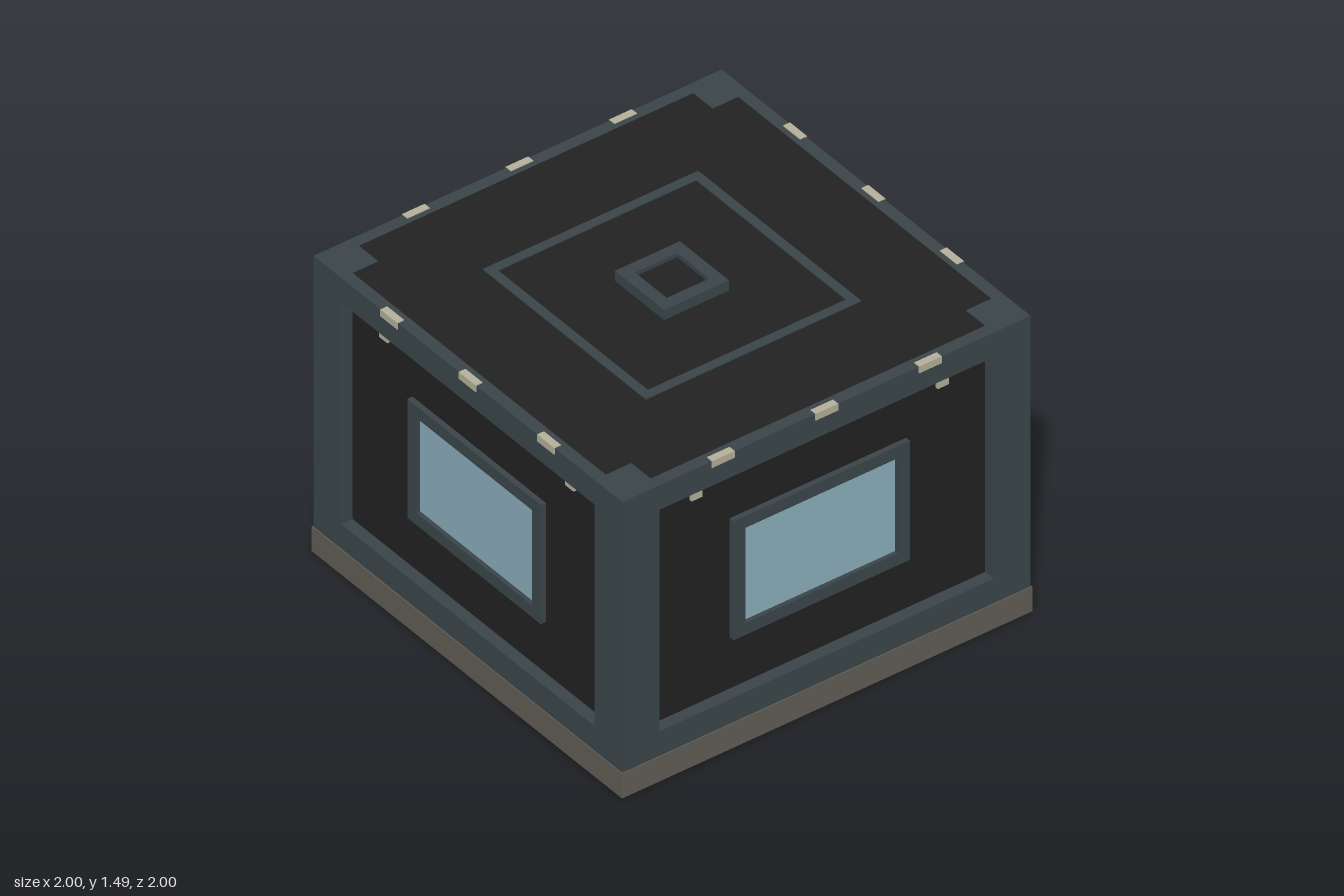
import * as THREE from 'three';

const mat = (name, color) => {
  const m = new THREE.MeshStandardMaterial({ color });
  m.name = name;
  return m;
};

export function createModel() {
  const frameMat = mat('slate frame', 0x3b464a);
  const panelMat = mat('black panel', 0x222222);
  const baseMat = mat('taupe base', 0x625d55);
  const glassMat = mat('blue glass', 0x8cafbc);
  const lampMat = mat('cream lamp', 0xb6b19c);

  const model = new THREE.Group();
  model.name = 'cabin';

  // Box given by its minimum and maximum corners
  const box = (name, material, x0, x1, y0, y1, z0, z1, parent = model) => {
    const mesh = new THREE.Mesh(new THREE.BoxGeometry(x1 - x0, y1 - y0, z1 - z0), material);
    mesh.position.set((x0 + x1) / 2, (y0 + y1) / 2, (z0 + z1) / 2);
    mesh.name = name;
    parent.add(mesh);
    return mesh;
  };

  // Rectangular ring in the xy plane, extruded towards +z
  const ring = (name, material, w, h, border, depth, parent = model) => {
    const rect = (Target, a, b) => {
      const p = new Target();
      p.moveTo(-a, -b).lineTo(a, -b).lineTo(a, b).lineTo(-a, b).closePath();
      return p;
    };
    const shape = rect(THREE.Shape, w, h);
    shape.holes.push(rect(THREE.Path, w - border, h - border));
    const mesh = new THREE.Mesh(new THREE.ExtrudeGeometry(shape, { depth, bevelEnabled: false }), material);
    mesh.name = name;
    parent.add(mesh);
    return mesh;
  };

  const OUT = 0.995, WALL = 0.94, POST = 0.815, FLOOR = 0.12, TOP = 1.44;

  box('base', baseMat, -1, 1, 0, FLOOR, -1, 1);

  // Dark core with notched corners: recessed wall panels and roof
  const cross = new THREE.Shape([
    [POST, -WALL], [POST, -POST], [WALL, -POST], [WALL, POST], [POST, POST], [POST, WALL],
    [-POST, WALL], [-POST, POST], [-WALL, POST], [-WALL, -POST], [-POST, -POST], [-POST, -WALL],
  ].map(([x, y]) => new THREE.Vector2(x, y)));
  const core = new THREE.Mesh(
    new THREE.ExtrudeGeometry(cross, { depth: TOP - FLOOR, bevelEnabled: false }), panelMat);
  core.rotation.x = -Math.PI / 2;
  core.position.y = FLOOR;
  core.name = 'wallPanelsAndRoof';
  model.add(core);

  // Four identical sides, turned about the centre
  for (let i = 0; i < 4; i++) {
    const side = new THREE.Group();
    side.name = ['front', 'left', 'back', 'right'][i] + 'Side';
    side.rotation.y = i * Math.PI / 2;
    model.add(side);

    box('cornerPost', frameMat, POST, OUT, FLOOR, TOP, POST, OUT, side);
    box('lowerBeam', frameMat, -POST, POST, FLOOR, 0.24, WALL, OUT, side);
    box('upperBeam', frameMat, -POST, POST, 1.32, TOP, WALL, OUT, side);

    // Window
    const surround = ring('windowFrame', frameMat, 0.43, 0.29, 0.058, 0.025, side);
    surround.position.set(0, 0.78, WALL);
    box('windowGlass', glassMat, -0.372, 0.372, 0.548, 1.012, WALL, WALL + 0.006, side);

    // Lamps along the roof edge and small lamps on the panel
    for (const x of [-0.505, 0, 0.505])
      box('edgeLamp', lampMat, x - 0.055, x + 0.055, 1.41, TOP + 0.003, 0.965, 0.999, side);
    for (const x of [-0.6, 0.6])
      box('wallLamp', lampMat, x - 0.027, x + 0.027, 1.25, 1.28, WALL, WALL + 0.015, side);
  }

  // Roof trim and the raised hatch
  const trim = ring('roofTrim', frameMat, 0.525, 0.525, 0.042, 0.005);
  const hatch = ring('roofHatch', frameMat, 0.158, 0.158, 0.055, 0.05);
  for (const part of [trim, hatch]) {
    part.rotation.x = -Math.PI / 2;
    part.position.y = TOP;
  }
  box('hatchCover', panelMat, -0.103, 0.103, TOP, TOP + 0.03, -0.103, 0.103);

  return model;
}
